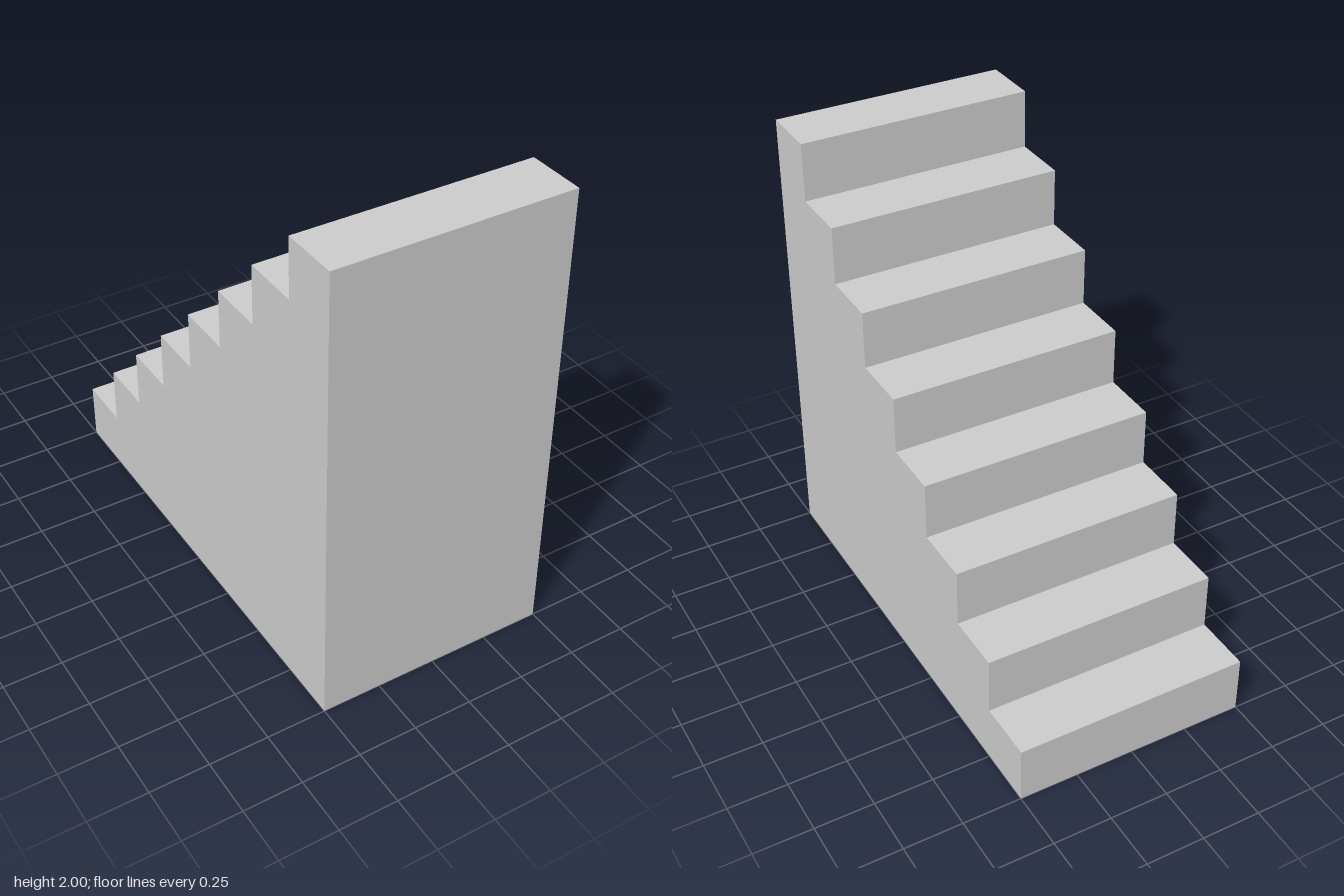
import * as THREE from 'three';

const STEPS = 8;
const WIDTH = 1;
const RUN = 0.25;
const RISE = 0.25;

export function createModel() {
  const group = new THREE.Group();
  group.name = 'staircase';

  // Side profile: shape x becomes z, climbing from the back towards the front
  const start = -STEPS * RUN / 2;
  const profile = new THREE.Shape();
  profile.moveTo(start, 0);
  profile.lineTo(-start, 0);
  for (let i = STEPS; i > 0; i--) {
    profile.lineTo(start + i * RUN, i * RISE);
    profile.lineTo(start + (i - 1) * RUN, i * RISE);
  }
  profile.closePath();

  // Solid flight of steps, extruded across the width
  const geometry = new THREE.ExtrudeGeometry(profile, { depth: WIDTH, bevelEnabled: false });
  geometry.translate(0, 0, -WIDTH / 2);
  geometry.rotateY(-Math.PI / 2);

  const material = new THREE.MeshStandardMaterial({ color: 0xcccccc, flatShading: true });
  const steps = new THREE.Mesh(geometry, material);
  steps.name = 'steps';
  group.add(steps);
  return group;
}
